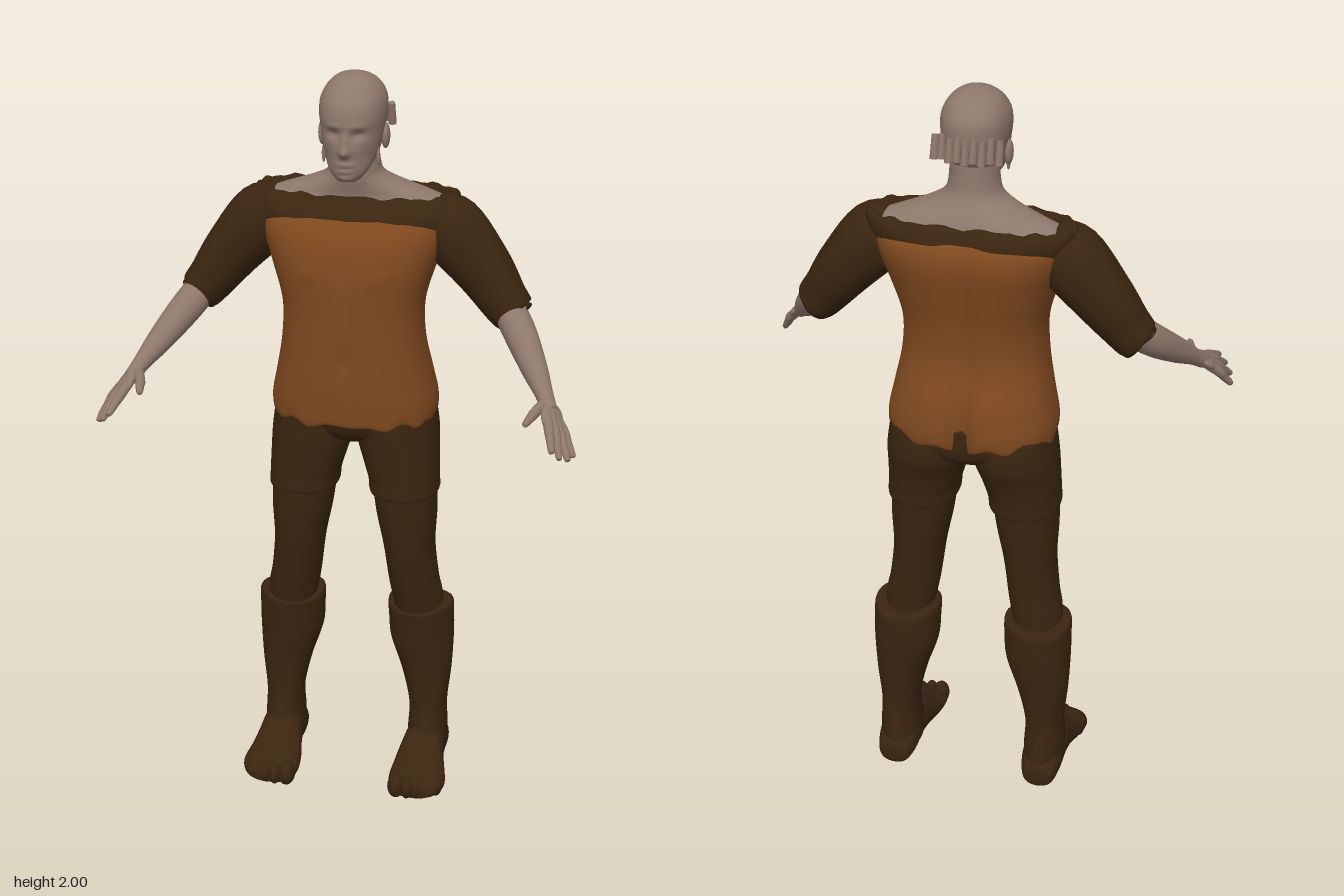
import * as THREE from 'three';

const mat = (name, color) =>
  Object.assign(new THREE.MeshStandardMaterial({ color, side: THREE.DoubleSide }), { name });

// Smooth interpolation through rows of numbers
function resample(rows, steps) {
  const out = [], last = rows.length - 1;
  for (let s = 0; s <= last * steps; s++) {
    const i = Math.min(Math.floor(s / steps), last - 1), t = s / steps - i;
    const p = rows[Math.max(i - 1, 0)], a = rows[i], b = rows[i + 1], q = rows[Math.min(i + 2, last)];
    out.push(a.map((v, k) => {
      const m0 = (b[k] - p[k]) / 2, m1 = (q[k] - v) / 2, d = b[k] - v;
      return v + m0 * t + (3 * d - 2 * m0 - m1) * t * t + (m0 + m1 - 2 * d) * t * t * t;
    }));
  }
  return out;
}

// Skin a list of equal rings, with optional closed ends
function skin(rings, capped = true) {
  const n = rings[0].length, pos = [], idx = [];
  rings.forEach(r => r.forEach(v => pos.push(v.x, v.y, v.z)));
  for (let j = 0; j < rings.length - 1; j++) for (let i = 0; i < n; i++) {
    const a = j * n + i, c = j * n + (i + 1) % n;
    idx.push(a, a + n, c, c, a + n, c + n);
  }
  if (capped) [0, rings.length - 1].forEach((j, end) => {
    const mid = rings[j].reduce((s, v) => s.add(v), new THREE.Vector3()).divideScalar(n);
    const k = pos.length / 3;
    pos.push(mid.x, mid.y, mid.z);
    for (let i = 0; i < n; i++) {
      const a = j * n + i, b = j * n + (i + 1) % n;
      if (end) idx.push(a, k, b); else idx.push(a, b, k);
    }
  });
  const g = new THREE.BufferGeometry();
  g.setAttribute('position', new THREE.Float32BufferAttribute(pos, 3));
  g.setIndex(idx);
  g.computeVertexNormals();
  return g;
}

// Upright loft; rows are [y, xMin, xMax, zFront, zBack]
function loft(rows, { n = 40, power = 2, steps = 5, capped = true, deform } = {}) {
  const bend = c => Math.sign(c) * Math.abs(c) ** (2 / power);
  const all = resample(rows, steps);
  return skin(all.map(([y, x0, x1, zf, zb], j) => Array.from({ length: n }, (_, i) => {
    const a = i / n * Math.PI * 2;
    const v = new THREE.Vector3((x0 + x1) / 2 + bend(Math.cos(a)) * (x1 - x0) / 2, y,
      (zf + zb) / 2 + bend(Math.sin(a)) * (zf - zb) / 2);
    if (deform) deform(v, a, j / (all.length - 1));
    return v;
  })), capped);
}
const sym = rows => rows.map(([y, w, f, b]) => [y, -w, w, f, b]);

// Limb along a path; rows are [x, y, z, radius, depthRadius]
function limb(rows, { n = 20, steps = 5, ragged = 0 } = {}) {
  const all = resample(rows.map(r => r.length < 5 ? [...r, r[3]] : r), steps);
  const at = i => new THREE.Vector3(...all[Math.max(0, Math.min(i, all.length - 1))].slice(0, 3));
  return skin(all.map(([, , , ru, rv], j) => {
    const t = at(j + 1).sub(at(j - 1)).normalize();
    const u = t.clone().cross(new THREE.Vector3(0, 0, 1)).normalize(), v = u.clone().cross(t);
    return Array.from({ length: n }, (_, i) => {
      const a = i / n * Math.PI * 2;
      const jag = j > all.length - 4 ? ragged * (Math.sin(a * 5) + Math.sin(a * 8 + 1)) : 0;
      return at(j).addScaledVector(u, Math.cos(a) * ru).addScaledVector(v, Math.sin(a) * rv).addScaledVector(t, jag);
    });
  }));
}

function mirrored(geo) {
  const g = geo.clone().scale(-1, 1, 1), ix = g.index.array;
  for (let i = 0; i < ix.length; i += 3) [ix[i], ix[i + 1]] = [ix[i + 1], ix[i]];
  g.computeVertexNormals();
  return g;
}
const bump = (dx, dy, wx, wy) => Math.exp(-((dx / wx) ** 2) - (dy / wy) ** 2);
const ball = (x, y, z, sx, sy, sz) => new THREE.SphereGeometry(1, 20, 14).scale(sx, sy, sz).translate(x, y, z);

export function createModel() {
  const root = new THREE.Group();
  root.name = 'figure';
  const skinMat = mat('skin', 0x8e786c), tunicMat = mat('tunic orange brown', 0x80491f),
    darkMat = mat('dark brown cloth', 0x3a2510);
  const add = (name, geo, m) => {
    const mesh = new THREE.Mesh(geo, m);
    mesh.name = name;
    root.add(mesh);
  };
  const pair = (name, geo, m) => {
    add('left' + name, geo, m);
    add('right' + name, mirrored(geo), m);
  };

  // Head with nose, brow, eye sockets, lips and chin
  add('head', loft(sym([
    [1.745, .028, .02, -.03], [1.765, .048, .03, -.07], [1.8, .066, .033, -.135], [1.835, .075, .034, -.17],
    [1.87, .081, .032, -.185], [1.905, .085, .033, -.19], [1.94, .082, .022, -.186], [1.97, .066, -.005, -.165],
    [1.99, .042, -.035, -.132], [2, .012, -.065, -.095]]), {
    n: 72, power: 2.15, steps: 7, deform: v => {
      if (v.z < -.04) return;
      const { x, y } = v, ax = Math.abs(x);
      v.z += .02 * bump(x, y - 1.823, .013, .013) + .011 * bump(x, y - 1.848, .01, .024)
        - .011 * bump(ax - .031, y - 1.866, .017, .011) + .004 * bump(ax - .03, y - 1.888, .025, .008)
        + .007 * bump(x, y - 1.79, .022, .007) - .003 * bump(x, y - 1.782, .025, .003)
        + .006 * bump(x, y - 1.774, .02, .006) + .007 * bump(x, y - 1.753, .022, .01)
        - .005 * bump(ax - .05, y - 1.805, .015, .02);
    },
  }), skinMat);
  pair('Ear', ball(.081, 1.84, -.083, .011, .033, .02).rotateX(0), skinMat);
  pair('SideLock', ball(.07, 1.797, -.043, .005, .024, .006), skinMat);

  // Short row of hair locks on the back of the head
  for (let i = 0; i < 9; i++) {
    const x = (i - 4) * .02;
    const lock = new THREE.CylinderGeometry(.009, .011, .06, 6).rotateX(.25)
      .translate(x, 1.873 + .006 * (i % 2), -.19 + x * x * 3);
    add('hairLock', lock, skinMat);
  }

  // Neck and bare shoulders
  add('neckAndShoulders', loft(sym([
    [1.6, .25, -.035, -.22], [1.655, .255, -.045, -.215], [1.683, .2, -.05, -.208], [1.708, .13, -.045, -.195],
    [1.735, .078, -.038, -.175], [1.77, .064, -.035, -.165], [1.84, .06, -.04, -.16]]), { n: 48 }), skinMat);

  // Tunic body with spine groove, chest and ragged hem
  add('tunic', loft(sym([
    [1.09, .205, .03, -.25], [1.085, .216, .045, -.265], [1.13, .219, .05, -.269], [1.2, .205, .054, -.26],
    [1.3, .187, .057, -.231], [1.4, .185, .06, -.233], [1.5, .212, .062, -.252], [1.58, .24, .045, -.266],
    [1.63, .25, .015, -.26], [1.655, .243, -.012, -.238]]), {
    n: 80, power: 2.4, deform: (v, a, t) => {
      const { x, y } = v, ax = Math.abs(x);
      if (v.z < -.1) v.z += .018 * bump(x, 0, .03, 1) + .02 * bump(x, y - 1.1, .015, .1);
      else if (v.z > -.03) v.z += .006 * bump(ax - .09, y - 1.495, .022, .014) - .008 * bump(x, y - 1.27, .008, .03)
        - .007 * bump(x, y - 1.53, .02, .08) - .005 * bump(ax - .09, y - 1.475, .04, .008);
      if (t < .2) v.y += .005 * (Math.sin(a * 9) + Math.sin(a * 14 + 2));
    },
  }), tunicMat);

  // Dark collar folded over the shoulders
  add('collar', loft(sym([
    [1.59, .248, .02, -.245], [1.638, .263, .008, -.25], [1.668, .268, -.02, -.24], [1.682, .262, -.04, -.225],
    [1.678, .25, -.055, -.208], [1.64, .235, -.065, -.2]]), {
    n: 80, power: 2.4, capped: false, deform: (v, a, t) => {
      if (v.z < -.15) v.z += .018 * bump(v.x, 0, .04, 1);
      v.y += .004 * t * (Math.sin(a * 13) + Math.sin(a * 22 + 1));
    },
  }), darkMat);

  // Sleeves
  pair('Sleeve', limb([
    [.19, 1.63, -.118, .055, .07], [.242, 1.597, -.118, .088, .086], [.328, 1.498, -.116, .077, .08],
    [.385, 1.42, -.105, .064, .068], [.416, 1.383, -.1, .057, .061], [.414, 1.387, -.1, .042, .045]],
  { n: 32, ragged: .004 }), darkMat);

  // Forearms and hands
  pair('Forearm', limb([
    [.375, 1.435, -.115, .04], [.435, 1.36, -.05, .043], [.49, 1.29, .035, .034],
    [.525, 1.245, .093, .023], [.545, 1.215, .13, .02]]), skinMat);
  pair('Palm', ball(0, 0, 0, .033, .014, .05).rotateX(.5).rotateZ(-.6).rotateY(.35)
    .translate(.553, 1.207, .15), skinMat);
  const fingers = {
    Index: [[.55, 1.2, .19], [.567, 1.166, .262]],
    Middle: [[.564, 1.194, .184], [.586, 1.147, .254]],
    Ring: [[.574, 1.185, .171], [.604, 1.133, .228]],
    Little: [[.582, 1.178, .153], [.613, 1.126, .188]],
    Thumb: [[.51, 1.222, .165], [.495, 1.215, .222]],
  };
  for (const [name, [k, e]] of Object.entries(fingers)) {
    const mid = k.map((v, i) => (v + e[i]) / 2);
    pair(name + 'Finger', limb([[.532, 1.235, .108, .014], [...k, .0135], [...mid, .011], [...e, .008],
      [...e.map((v, i) => v + (v - mid[i]) * .12), .002]], { n: 10, steps: 4 }), skinMat);
  }

  // Hips, shorts, trousers and boots
  add('hips', loft(sym([
    [1.0, .04, -.06, -.17], [1.03, .15, -.01, -.23], [1.07, .21, .012, -.25], [1.13, .205, .02, -.25]]),
  { n: 48 }), darkMat);
  pair('Shorts', loft([
    [.872, .06, .215, -.01, -.2], [.866, .044, .229, .011, -.214], [.9, .04, .228, .012, -.217],
    [.96, .022, .226, .012, -.228], [1.03, .003, .223, .013, -.25], [1.11, .01, .212, .012, -.245]],
  { power: 2.2 }), darkMat);
  pair('Trouser', loft([
    [.49, .115, .245, -.045, -.19], [.55, .103, .24, -.035, -.19], [.6, .095, .23, -.025, -.19],
    [.7, .082, .22, -.008, -.194], [.8, .062, .224, .002, -.202], [.89, .05, .222, .005, -.208]],
  { power: 2.1 }), darkMat);
  pair('Boot', loft([
    [.05, .15, .256, -.04, -.218], [.12, .15, .258, -.045, -.216], [.2, .152, .256, -.06, -.205],
    [.3, .13, .266, -.06, -.211], [.4, .098, .271, -.05, -.221], [.47, .092, .271, -.042, -.222],
    [.512, .092, .268, -.038, -.218], [.514, .112, .245, -.05, -.195]], {
    power: 2.1, deform: (v, a, t) => { if (t > .8) v.y += .006 * Math.sin(a * 2 + 1); },
  }), darkMat);
  // Foot rows run from heel to toe, laid down by a quarter turn
  pair('Foot', loft([
    [-.224, .18, .225, -.03, -.06], [-.215, .162, .247, -.014, -.09], [-.17, .15, .258, -.01, -.125],
    [-.1, .148, .26, -.01, -.15], [-.045, .141, .264, -.01, -.135], [0, .132, .275, -.01, -.1],
    [.05, .128, .284, -.01, -.08], [.085, .135, .272, -.011, -.066], [.105, .155, .25, -.018, -.05]],
  { power: 2.3 }).rotateX(Math.PI / 2), darkMat);
  [.155, .186, .212, .238, .261].forEach((x, i) =>
    pair('Toe', ball(x, .042 - i * .002, [.087, .09, .082, .068, .05][i],
      i ? .017 : .024, i ? .03 : .034, .03), darkMat));

  return root;
}
